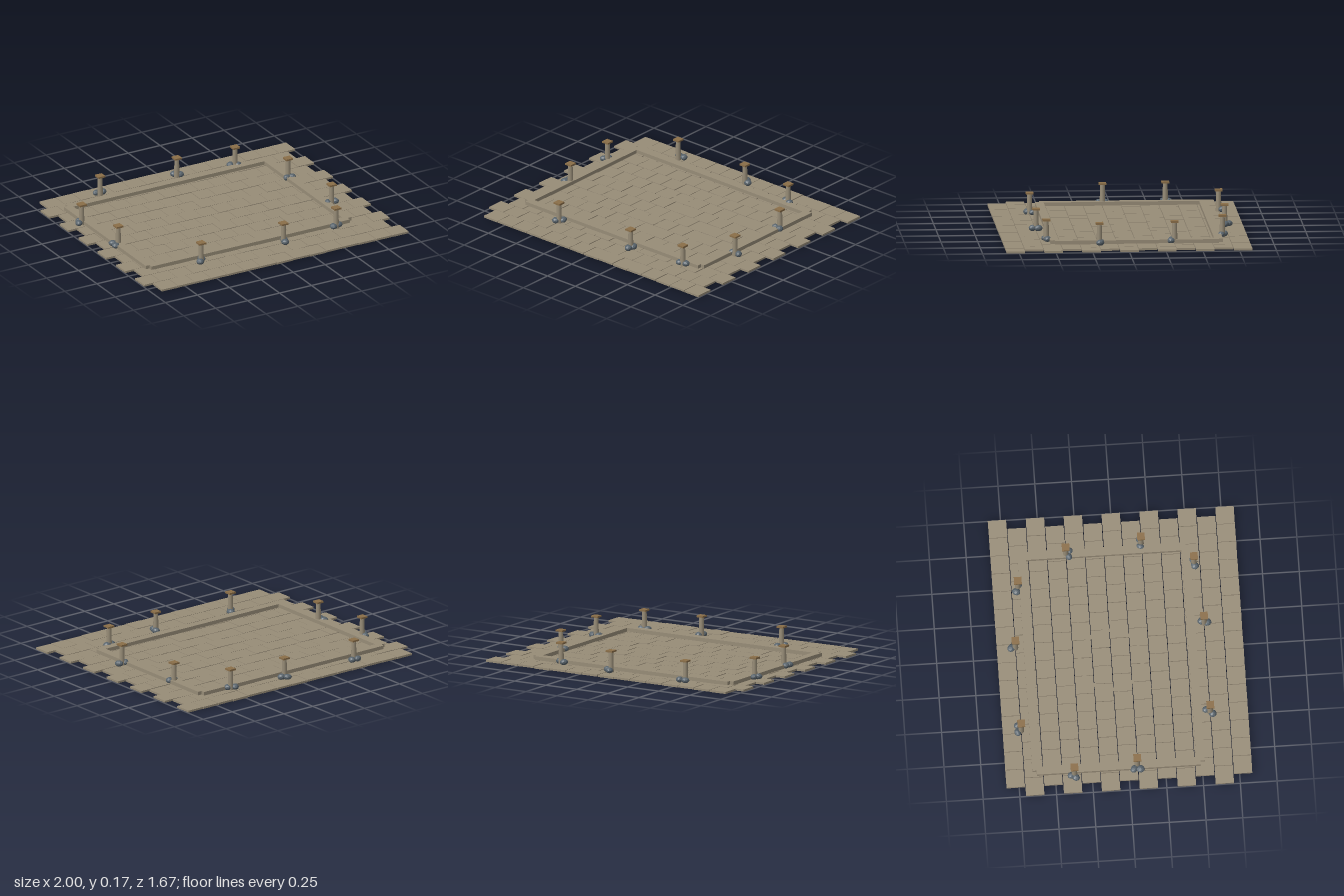
import * as THREE from 'three';

const material = (color, flatShading = false) => new THREE.MeshStandardMaterial({ color, flatShading });

export function createModel() {
  const model = new THREE.Group();
  const stone = material(0x978c77);
  const wood = material(0x8a6e48);
  const rock = material(0x58636b, true);

  let seed = 7;
  const jitter = (amount) => {
    seed = (seed * 16807) % 2147483647;
    return (seed / 2147483647 - 0.5) * 2 * amount;
  };
  const add = (parent, name, geometry, mat, x, y, z) => {
    const mesh = new THREE.Mesh(geometry, mat);
    mesh.name = name;
    mesh.position.set(x, y, z);
    parent.add(mesh);
    return mesh;
  };

  // Paving laid in a running bond, slightly uneven
  const paving = new THREE.Group();
  paving.name = 'paving';
  model.add(paving);
  const pitch = 0.129;
  const tile = new THREE.BoxGeometry(0.125, 0.014, 0.125);
  for (let row = 0; row < 13; row++) {
    const shift = row % 2 ? -0.0325 : 0.0325;
    for (let col = 0; col < 15; col++) {
      const slab = add(paving, 'pavingSlab', tile, stone,
        (col - 7) * pitch + shift, 0.0085 + jitter(0.0015), (row - 6) * pitch);
      slab.rotation.y = jitter(0.012);
    }
  }

  // Raised rectangular kerb, bars meeting on their centre lines
  const kerb = new THREE.Group();
  kerb.name = 'kerb';
  kerb.position.set(-0.057, 0, -0.067);
  model.add(kerb);
  const halfX = 0.776, halfZ = 0.558;
  for (const side of [-1, 1]) {
    add(kerb, 'kerbLongBar', new THREE.BoxGeometry(halfX * 2, 0.026, 0.058), stone, 0, 0.028, side * halfZ);
    add(kerb, 'kerbShortBar', new THREE.BoxGeometry(0.058, 0.026, halfZ * 2), stone, side * halfX, 0.028, 0);
  }

  // Ring sunk flush into the middle of the paving
  const ringShape = new THREE.Shape().absarc(0, 0, 0.225, 0, Math.PI * 2);
  ringShape.holes.push(new THREE.Path().absarc(0, 0, 0.202, 0, Math.PI * 2, true));
  const ringGeometry = new THREE.ExtrudeGeometry(ringShape, { depth: 0.008, bevelEnabled: false, curveSegments: 32 });
  ringGeometry.rotateX(-Math.PI / 2);
  add(model, 'inlaidRing', ringGeometry, stone, -0.057, 0.006, -0.067);

  // Bollards: x, z, then offsets of the two rocks at the foot
  const bollards = [
    [-0.53, -0.71, -0.015, -0.025, 0.033, -0.022],
    [0.07, -0.71, -0.004, -0.028, 0.025, -0.002],
    [0.50, -0.665, -0.03, -0.012, 0.016, 0.008],
    [-0.87, -0.37, -0.025, 0.008, -0.008, -0.022],
    [0.72, -0.325, -0.02, 0.02, 0.018, 0.025],
    [-0.83, 0.06, -0.03, -0.022, -0.032, 0.02],
    [0.765, 0.19, -0.025, -0.006, 0.028, -0.004],
    [-0.48, 0.58, 0.017, -0.025, -0.015, 0.015],
    [0.165, 0.58, 0.0, 0.022, 0.012, -0.015],
    [0.60, 0.54, -0.022, 0.004, 0.02, -0.006],
  ];
  const shaft = new THREE.CylinderGeometry(0.016, 0.02, 0.142, 10);
  const cap = new THREE.BoxGeometry(0.052, 0.012, 0.052);
  const boulder = new THREE.IcosahedronGeometry(0.026, 1);
  for (const [x, z, ...offsets] of bollards) {
    const bollard = new THREE.Group();
    bollard.name = 'bollard';
    bollard.position.set(x, 0, z);
    model.add(bollard);
    add(bollard, 'shaft', shaft, stone, 0, 0.085, 0);
    add(bollard, 'cap', cap, wood, 0, 0.162, 0);
    for (let i = 0; i < 4; i += 2) {
      const stoneMesh = add(bollard, 'rock', boulder, rock, offsets[i], 0.033, offsets[i + 1]);
      stoneMesh.scale.set(1.1 + jitter(0.1), 0.8 + jitter(0.05), 0.95 + jitter(0.1));
      stoneMesh.rotation.y = jitter(3);
    }
  }
  return model;
}
